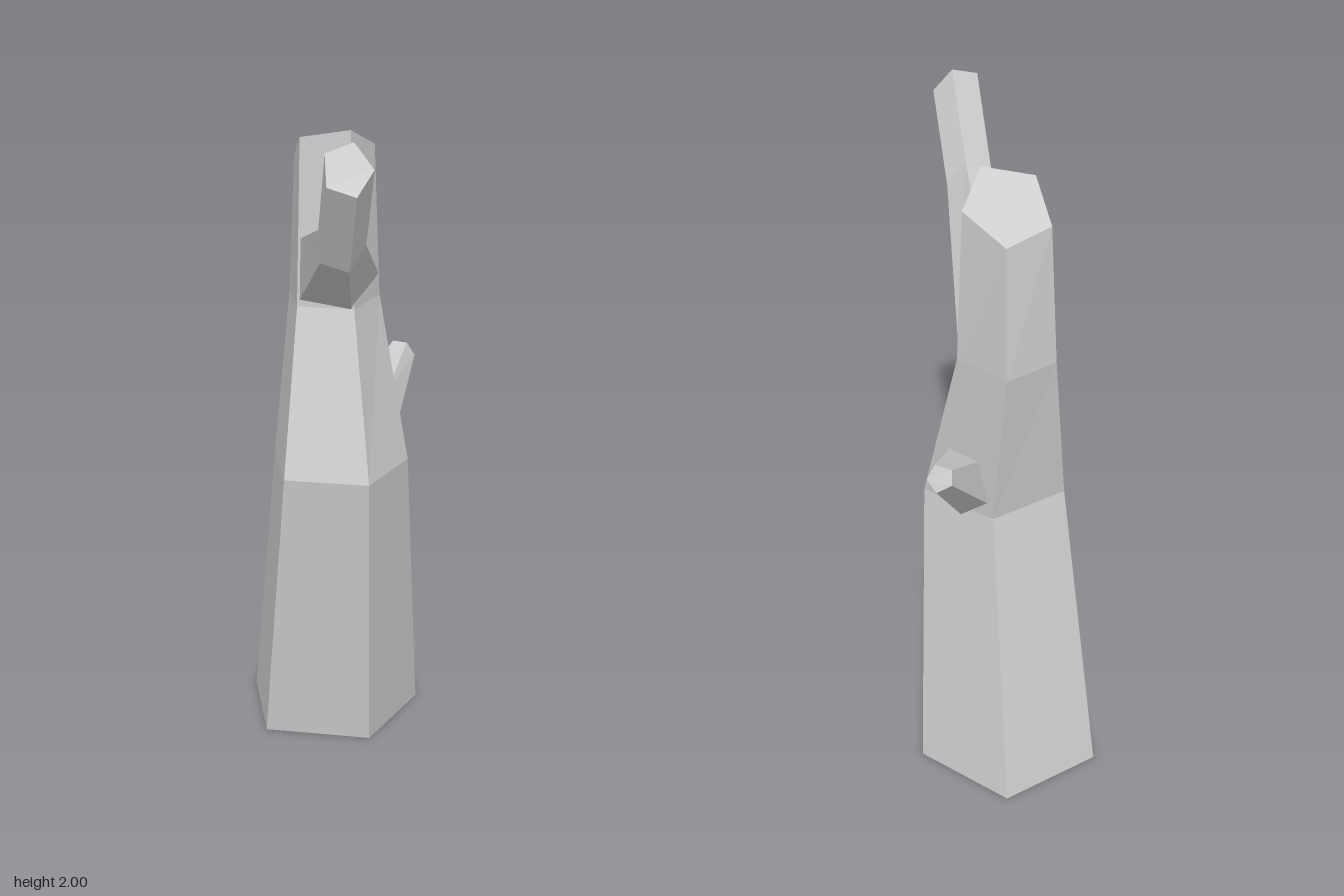
import * as THREE from 'three';

const material = new THREE.MeshStandardMaterial({ color: 0xcccccc, flatShading: true });

// Skins a list of rings (counter-clockwise seen from the tip) and caps both ends.
function loft(name, rings) {
  const positions = [];
  const tri = (a, b, c) => positions.push(...a, ...b, ...c);
  const n = rings[0].length;
  for (let i = 0; i < rings.length - 1; i++) {
    const lower = rings[i], upper = rings[i + 1];
    for (let j = 0; j < n; j++) {
      const k = (j + 1) % n;
      tri(lower[j], lower[k], upper[k]);
      tri(lower[j], upper[k], upper[j]);
    }
  }
  const first = rings[0], last = rings[rings.length - 1];
  for (let j = 1; j < n - 1; j++) {
    tri(first[0], first[j + 1], first[j]);
    tri(last[0], last[j], last[j + 1]);
  }
  const geometry = new THREE.BufferGeometry();
  geometry.setAttribute('position', new THREE.Float32BufferAttribute(positions, 3));
  geometry.computeVertexNormals();
  const mesh = new THREE.Mesh(geometry, material);
  mesh.name = name;
  return mesh;
}

// Five-sided trunk ring with one corner to +x; slope tilts it up toward the front.
function trunkRing({ y, z, right, mid, left, wide, narrow, slope = 0 }) {
  return [[right, 0], [mid, -wide], [left, -narrow], [left, narrow], [mid, wide]]
    .map(([x, dz]) => [x, y + dz * slope, z + dz]);
}

export function createModel() {
  const group = new THREE.Group();
  group.name = 'deadTree';

  // Bent trunk with a slanted cut at the top
  group.add(loft('trunk', [
    { y: 0, z: -0.235, right: 0.25, mid: 0.054, left: -0.263, wide: 0.272, narrow: 0.168 },
    { y: 0.9, z: -0.075, right: 0.188, mid: 0.036, left: -0.21, wide: 0.21, narrow: 0.13 },
    { y: 1.4, z: -0.183, right: 0.114, mid: 0.014, left: -0.15, wide: 0.158, narrow: 0.098 },
    { y: 1.862, z: -0.185, right: 0.098, mid: 0.009, left: -0.135, wide: 0.12, narrow: 0.075, slope: 0.56 },
  ].map(trunkRing)));

  // Bent front branch: right, top, upper left, lower left, bottom corners
  group.add(loft('frontBranch', [
    [[0.108, 1.47, -0.168], [-0.002, 1.65, -0.055], [-0.137, 1.6, -0.11], [-0.142, 1.42, -0.085], [0.005, 1.4, -0.03]],
    [[-0.004, 1.69, 0.333], [-0.055, 1.76, 0.305], [-0.135, 1.733, 0.316], [-0.135, 1.647, 0.35], [-0.055, 1.62, 0.362]],
    [[-0.004, 1.93, 0.477], [-0.055, 2.0, 0.45], [-0.135, 1.975, 0.461], [-0.135, 1.89, 0.494], [-0.055, 1.863, 0.506]],
  ]));

  // Short stub branch reaching back and to the side
  group.add(loft('sideBranch', [
    [[0.155, 0.96, -0.13], [0.11, 0.875, -0.2], [0.05, 0.95, -0.27], [0.065, 1.08, -0.24], [0.13, 1.085, -0.155]],
    [[0.258, 1.14, -0.372], [0.24, 1.115, -0.41], [0.2, 1.145, -0.43], [0.193, 1.18, -0.405], [0.232, 1.183, -0.368]],
  ]));

  return group;
}
